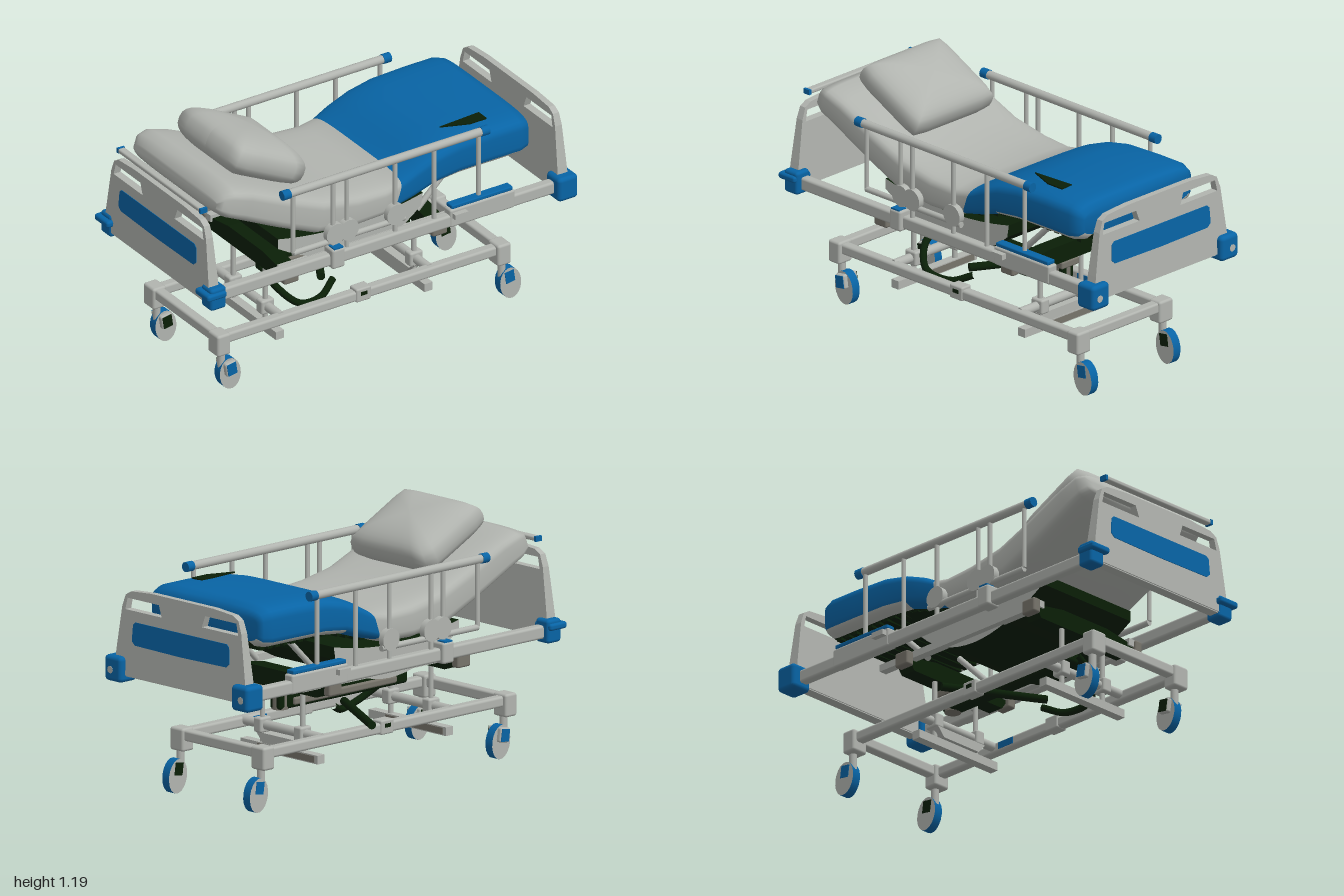
import * as THREE from 'three';
import { RoundedBoxGeometry } from 'three/addons/geometries/RoundedBoxGeometry.js';

const mat = (name, color) => {
  const m = new THREE.MeshStandardMaterial({ color });
  m.name = name;
  return m;
};
const V = (x, y, z) => new THREE.Vector3(x, y, z);

export function createModel() {
  const root = new THREE.Group();
  root.name = 'adjustableBed';
  const grey = mat('lightGrey', 0xb1b4af);
  const blue = mat('blue', 0x0864a5);
  const dark = mat('darkGreen', 0x0a1f07);
  const brown = mat('darkGrey', 0x77746b);

  const add = (name, geo, material, parent = root) => {
    const m = new THREE.Mesh(geo, material);
    m.name = name;
    parent.add(m);
    return m;
  };
  // Box given by its limits on each axis
  const box = (name, [x0, x1], [y0, y1], [z0, z1], material, round = 0, parent = root) => {
    const s = [x1 - x0, y1 - y0, z1 - z0];
    const g = round ? new RoundedBoxGeometry(...s, 2, round) : new THREE.BoxGeometry(...s);
    add(name, g, material, parent).position.set((x0 + x1) / 2, (y0 + y1) / 2, (z0 + z1) / 2);
  };
  // Round bar between two points
  const bar = (name, a, b, r, material, parent = root) => {
    const d = b.clone().sub(a);
    const m = add(name, new THREE.CylinderGeometry(r, r, d.length(), 14), material, parent);
    m.position.copy(a).lerp(b, 0.5);
    m.quaternion.setFromUnitVectors(V(0, 1, 0), d.normalize());
  };

  // Mattress sections: top x, top y, bottom x, bottom y, half width
  const sections = [
    [-0.86, 1.02, -0.87, 0.97, 0.33], [-0.83, 1.06, -0.865, 0.95, 0.36], [-0.78, 1.07, -0.83, 0.92, 0.375],
    [-0.68, 1.04, -0.75, 0.88, 0.375], [-0.5, 0.96, -0.55, 0.78, 0.375], [-0.3, 0.88, -0.35, 0.69, 0.375],
    [-0.12, 0.845, -0.14, 0.665, 0.375], [0.03, 0.835, 0.01, 0.67, 0.37], [0.12, 0.85, 0.065, 0.69, 0.37],
    [0.2, 0.895, 0.17, 0.715, 0.375], [0.3, 0.935, 0.28, 0.75, 0.375], [0.42, 0.962, 0.42, 0.763, 0.375],
    [0.6, 0.97, 0.6, 0.763, 0.375], [0.75, 0.97, 0.75, 0.763, 0.375], [0.795, 0.955, 0.795, 0.775, 0.362],
    [0.812, 0.925, 0.812, 0.8, 0.335],
  ];
  const N = 32, pos = [], faces = [[], [], []];
  const pw = (v) => Math.sign(v) * Math.abs(v) ** 0.4;
  for (const [tx, ty, bx, by, w] of sections) {
    for (let j = 0; j < N; j++) {
      const t = ((j + 0.5) / N) * Math.PI * 2, k = (pw(Math.sin(t)) + 1) / 2;
      pos.push(bx + (tx - bx) * k, by + (ty - by) * k, w * pw(Math.cos(t)));
    }
  }
  // Faces: 0 sheet, 1 blanket, 2 underside of the leg section
  for (let i = 0; i < sections.length - 1; i++) {
    for (let j = 0; j < N; j++) {
      const a = i * N + j, b = i * N + ((j + 1) % N);
      const h = Math.sin(((j + 1) / N) * Math.PI * 2);
      const kind = i < 8 ? 0 : h < -0.8 ? 2 : h < -0.3 && i >= 10 ? 0 : 1;
      faces[kind].push(a, a + N, b, b, a + N, b + N);
    }
  }
  const last = (sections.length - 1) * N;
  for (let j = 1; j < N - 1; j++) {
    faces[0].push(0, j, j + 1);
    faces[1].push(last, last + j + 1, last + j);
  }
  const mg = new THREE.BufferGeometry();
  mg.setAttribute('position', new THREE.Float32BufferAttribute(pos, 3));
  mg.setIndex(faces.flat());
  let start = 0;
  faces.forEach((f, i) => {
    mg.addGroup(start, f.length, i);
    start += f.length;
  });
  mg.computeVertexNormals();
  add('mattressAndBlanket', mg, [grey, blue, dark]);

  // Dark patch on the blanket
  const poly = (pts, C = THREE.Shape) => new C(pts.map((p) => new THREE.Vector2(...p)));
  const patch = poly([[0.4, -0.235], [0.62, -0.22], [0.62, -0.285], [0.53, -0.285]]);
  const pg = new THREE.ExtrudeGeometry(patch, { depth: 0.006, bevelEnabled: false }).rotateX(-Math.PI / 2);
  add('blanketPatch', pg, dark).position.y = 0.966;

  // Pillow: cushion with squared corners
  const pil = new THREE.SphereGeometry(1, 32, 20);
  const pp = pil.attributes.position;
  for (let i = 0; i < pp.count; i++) {
    const x = pp.getX(i), y = pp.getY(i), z = pp.getZ(i);
    const s = 1 / Math.max(Math.hypot(x, z), 1e-6);
    const sq = Math.min(1 / Math.max(Math.abs(x * s), Math.abs(z * s), 1e-6), 1.36);
    pp.setXYZ(i, x * sq * 0.205, Math.sign(y) * Math.abs(y) ** 0.75 * 0.11, z * sq * 0.252);
  }
  pil.computeVertexNormals();
  const pillow = add('pillow', pil, grey);
  pillow.position.set(-0.515, 1.05, 0.005);
  pillow.rotation.z = -0.47;

  // Curved seat support with a dark shell, and slats under the legs
  const cr = new THREE.Shape();
  cr.moveTo(-0.5, 0.69);
  cr.quadraticCurveTo(-0.1, 0.6, 0.28, 0.69);
  cr.lineTo(0.27, 0.63);
  cr.bezierCurveTo(0.08, 0.45, -0.18, 0.44, -0.5, 0.64);
  const cg = new THREE.ExtrudeGeometry(cr, { depth: 0.56, bevelEnabled: false, curveSegments: 16 });
  add('seatSupport', cg, [grey, dark]).position.z = -0.28;
  for (let i = 0; i < 14; i++) {
    const x = 0.13 + i * 0.048, y = Math.min(0.763, 0.69 + (x - 0.065) * 0.28);
    box('slat', [x - 0.014, x + 0.014], [y - 0.004, y + 0.01], [-0.31, 0.31], dark);
  }
  for (const z of [-0.2, 0.2]) bar('legSupport', V(0.5, 0.755, z), V(0.3, 0.56, z), 0.014, grey);

  // End boards, tapering towards the top, with two hand slots
  const taper = (g) => {
    const p = g.attributes.position;
    for (let i = 0; i < p.count; i++) p.setX(i, p.getX(i) * (1 - (0.5 * (p.getY(i) - 0.55)) / 0.42));
    g.computeVertexNormals();
    return g;
  };
  const outline = poly([[-0.43, 0.565], [0.43, 0.565], [0.415, 0.68], [0.385, 0.88], [0.365, 0.935], [0.33, 0.955],
    [0.2, 0.965], [-0.2, 0.965], [-0.33, 0.955], [-0.365, 0.935], [-0.385, 0.88], [-0.415, 0.68]]);
  for (const s of [1, -1]) outline.holes.push(poly([[s * 0.13, 0.868], [s * 0.365, 0.868], [s * 0.352, 0.922], [s * 0.15, 0.922]], THREE.Path));
  const panel = poly([[-0.315, 0.73], [-0.295, 0.712], [0, 0.708], [0.295, 0.712], [0.315, 0.73], [0.31, 0.805],
    [0.295, 0.818], [-0.295, 0.818], [-0.31, 0.805]]);
  const slab = (shape, depth, x) => taper(new THREE.ExtrudeGeometry(shape, { depth, bevelEnabled: false })
    .rotateY(Math.PI / 2).translate(x, 0, 0));
  for (const s of [1, -1]) {
    const end = new THREE.Group();
    end.name = s > 0 ? 'footBoard' : 'headBoard';
    end.position.x = s * 0.94;
    end.rotation.y = s > 0 ? 0 : Math.PI;
    root.add(end);
    add('board', slab(outline, 0.06, -0.03), grey, end);
    add('bluePanel', slab(panel, 0.006, 0.028), blue, end);
    box('endBeam', [-0.025, 0.025], [0.56, 0.62], [-0.4, 0.4], grey, 0, end);
    if (s < 0) {
      box('topGrip', [-0.018, 0.018], [0.99, 1.012], [-0.335, 0.335], grey, 0.008, end);
      for (const z of [-0.335, 0.335]) box('gripEnd', [-0.018, 0.018], [0.989, 1.013], [z - 0.007, z + 0.007], blue, 0, end);
    }
    // Corner bumpers: full blocks at the foot, smaller with a collar at the head
    for (const z of [-0.41, 0.41]) {
      if (s > 0) {
        box('bumper', [-0.05, 0.058], [0.53, 0.65], [z - 0.055, z + 0.055], blue, 0.02, end);
        bar('bumperCap', V(0.05, 0.585, z * 1.03), V(0.06, 0.585, z * 1.03), 0.017, grey, end);
      } else {
        box('bumper', [-0.05, 0.035], [0.54, 0.65], [z - 0.042, z + 0.042], blue, 0.015, end);
        box('bumperCollar', [-0.045, 0.06], [0.6, 0.632], [z - 0.055, z + 0.055], blue, 0.012, end);
      }
    }
  }

  // Main frame and side guards, mirrored front to back
  for (const s of [1, -1]) {
    const z = s * 0.4, zz = (a, b) => (s > 0 ? [a, b] : [-b, -a]);
    box('sideBeam', [-0.9, 0.9], [0.56, 0.622], zz(0.375, 0.425), grey, 0.012);
    box('beamSleeve', [0.33, 0.68], [0.56, 0.65], zz(0.372, 0.428), grey, 0.01);
    box('innerBeam', [-0.5, 0.5], [0.522, 0.555], zz(0.27, 0.31), grey);
    box('guardLatch', [0.34, 0.67], [0.65, 0.67], zz(0.378, 0.425), blue, 0.006);
    box('latchHandle', [0.34, 0.41], [0.61, 0.635], zz(0.42, 0.455), grey);
    box('beamClamp', [-0.315, -0.245], [0.55, 0.65], zz(0.37, 0.445), grey, 0.012);
    box('clampTop', [-0.305, -0.255], [0.648, 0.655], zz(0.395, 0.442), blue);
    const top = 0.988;
    bar('guardTopRail', V(-0.52, top, z), V(0.51, top, z), 0.02, grey);
    for (const x of [-0.54, 0.53]) bar('guardRailEnd', V(x - 0.02, top, z), V(x + 0.02, top, z), 0.023, blue);
    for (const x of [-0.5, -0.285, -0.21, 0.05, 0.26, 0.5]) {
      bar('guardPost', V(x, x === 0.5 ? 0.66 : x === -0.5 ? 0.68 : 0.62, z), V(x, top, z), 0.011, grey);
    }
    for (const x of [-0.275, -0.205, 0.05]) bar('guardPivot', V(x, 0.71, s * 0.385), V(x, 0.71, s * 0.415), 0.052, grey);
    bar('guardLowerRail', V(-0.5, 0.675, z), V(0.1, 0.675, z), 0.014, grey);
  }

  // Lift mechanism
  box('liftHousing', [-0.42, 0.38], [0.37, 0.45], [-0.036, 0.036], dark, 0.015);
  box('liftArm', [-0.34, 0.3], [0.385, 0.42], [-0.05, 0.05], brown, 0.01);
  const trap = poly([[-0.32, 0.53], [-0.28, 0.475], [0.28, 0.475], [0.32, 0.53], [0.14, 0.56], [-0.14, 0.56]]);
  for (const x of [-0.45, 0.35]) {
    const g = new THREE.ExtrudeGeometry(trap, { depth: 0.08, bevelEnabled: false }).rotateY(Math.PI / 2);
    add('liftCrossPlate', g, dark).position.x = x - 0.04;
    const cx = x - 0.02;
    box('liftFoot', [cx - 0.022, cx + 0.022], [0.155, 0.195], [-0.25, 0.25], grey);
    box('liftFootPad', [cx + 0.021, cx + 0.025], [0.16, 0.19], [-0.23, 0.14], brown);
    for (const z of [-0.13, 0.13]) {
      bar('liftPost', V(cx, 0.17, z), V(cx, 0.52, z), 0.012, grey);
      box('liftJoint', [cx - 0.035, cx + 0.035], [0.24, 0.31], [z - 0.025, z + 0.025], grey, 0.01);
    }
    for (const z of [-0.325, 0.325]) box('liftKnuckle', [cx - 0.04, cx + 0.04], [0.485, 0.555], [z - 0.022, z + 0.022], brown, 0.01);
    bar('liftCrossTube', V(cx, 0.275, -0.26), V(cx, 0.275, 0.26), 0.022, grey);
  }
  bar('motor', V(0.345, 0.37, 0), V(0.345, 0.45, 0), 0.038, brown);
  box('motorMount', [0.31, 0.395], [0.44, 0.475], [-0.055, 0.055], brown, 0.008);
  const hose = new THREE.CatmullRomCurve3([V(-0.42, 0.41, 0.02), V(-0.41, 0.35, 0.12), V(-0.33, 0.27, 0.19), V(-0.2, 0.25, 0.17), V(-0.1, 0.29, 0.12)]);
  add('hose', new THREE.TubeGeometry(hose, 32, 0.017, 8), dark);
  bar('pedalBar', V(0.09, 0.307, -0.33), V(-0.15, 0.307, 0.1), 0.019, dark);

  // Wheeled base
  for (const s of [1, -1]) {
    const z = s * 0.262;
    box('baseRail', [-0.8, 0.7], [0.242, 0.292], [z - 0.025, z + 0.025], grey, 0.012);
    box('railClamp', [-0.085, -0.005], [0.238, 0.305], [z - 0.03, z + 0.03], grey, 0.008);
    box('clampSlot', [-0.062, -0.028], [0.27, 0.288], [z + s * 0.03 - 0.002, z + s * 0.03 + 0.002], dark);
    box('railPlate', [0.2, 0.29], [0.252, 0.284], [z - s * 0.025 - 0.002, z - s * 0.025 + 0.002], blue);
    for (const x of [-0.805, 0.705]) {
      box('cornerPost', [x - 0.036, x + 0.036], [0.195, 0.302], [z - 0.043, z + 0.043], grey, 0.012);
      bar('casterStem', V(x + 0.01, 0.12, z), V(x + 0.01, 0.21, z), 0.018, grey);
      // Caster: blue tread, grey sides, blue outer cover and dark inner cover
      const caster = new THREE.Group();
      caster.name = 'caster';
      caster.position.set(x + 0.045, 0.083, z);
      caster.rotation.z = 0.15;
      root.add(caster);
      const w = add('wheel', new THREE.CylinderGeometry(0.056, 0.056, 0.044, 20).rotateX(Math.PI / 2), [blue, grey, grey], caster);
      w.scale.y = 1.42;
      const half = x < 0 ? 0.044 : 0.023;
      if (x < 0) box('brakeHousing', [-0.03, 0.03], [0, 0.068], [-half, half], grey, 0.01, caster);
      for (const k of [-1, 1]) {
        box('wheelCover', [-0.024, 0.024], [0.005, 0.063], [k * half - 0.002, k * half + 0.002], k === s ? blue : dark, 0, caster);
      }
    }
  }
  for (const x of [-0.805, 0.705]) box('baseCrossBeam', [x - 0.025, x + 0.025], [0.245, 0.295], [-0.25, 0.25], grey, 0.01);
  const tray = poly([[-0.15, 0.24], [-0.11, 0.195], [0.11, 0.195], [0.15, 0.24]]);
  add('footTray', new THREE.ExtrudeGeometry(tray, { depth: 0.06, bevelEnabled: false }).rotateY(Math.PI / 2), grey).position.x = 0.29;

  return root;
}
